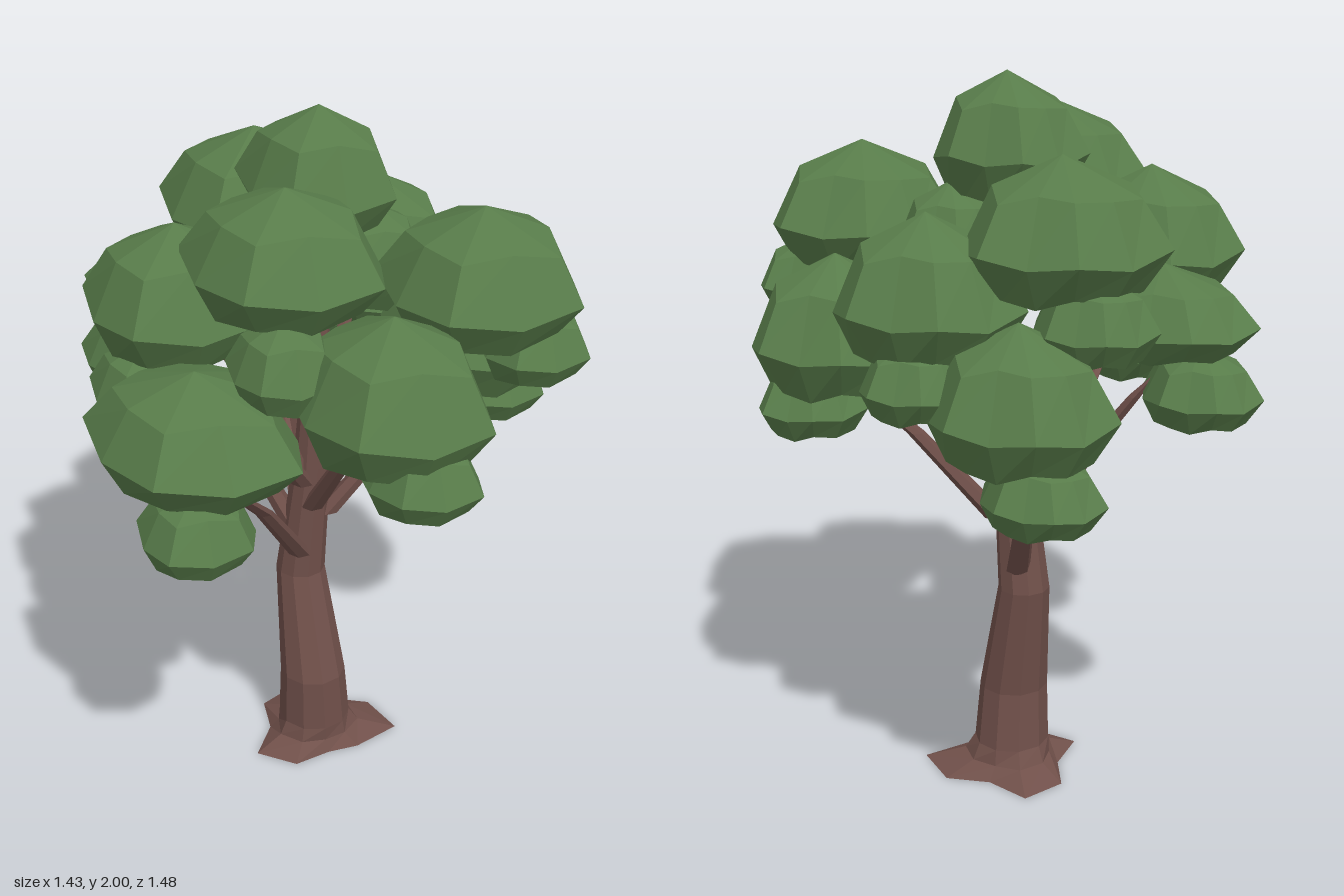
import * as THREE from 'three';

const bark = new THREE.MeshStandardMaterial({ color: 0x70504a, flatShading: true });
const leaf = new THREE.MeshStandardMaterial({ color: 0x587c4a, flatShading: true });

const evenAngles = (n) => Array.from({ length: n }, (_, i) => (i / n) * 360);
const pick = (v, i) => (Array.isArray(v) ? v[i] : v);

// Surface lofted upward through rings [x, y, z, radius]; y and radius may be
// lists with one value per angle, and a ring of radius 0 closes an end
function loft(rings, angles) {
  const pos = [], idx = [], n = angles.length;
  for (const [x, y, z, r] of rings) {
    angles.forEach((deg, i) => {
      const a = THREE.MathUtils.degToRad(deg);
      pos.push(x + Math.cos(a) * pick(r, i), pick(y, i), z + Math.sin(a) * pick(r, i));
    });
  }
  for (let k = 0; k < rings.length - 1; k++) {
    for (let i = 0; i < n; i++) {
      const a = k * n + i, b = k * n + ((i + 1) % n);
      idx.push(a, a + n, b, b, a + n, b + n);
    }
  }
  const geo = new THREE.BufferGeometry();
  geo.setAttribute('position', new THREE.Float32BufferAttribute(pos, 3));
  geo.setIndex(idx);
  geo.computeVertexNormals();
  return geo;
}

function part(name, geo, material) {
  const mesh = new THREE.Mesh(geo, material);
  mesh.name = name;
  return mesh;
}

// Unit leaf clump: five-cornered dome with a shallow underside, height 0 to 1
const CORNERS = [-88, -45, -5, 35, 75, 118, 162, 191, 220, 246];
const clumpShape = () => loft([
  [0, 0, 0, 0],
  [0, [0.1, 0.06, 0.14, 0.05, 0.1, 0.04, 0.12, 0.08, 0.14, 0.06], 0,
    [0.72, 0.7, 0.78, 0.68, 0.74, 0.7, 0.76, 0.72, 0.76, 0.7]],
  [0, [0.42, 0.34, 0.38, 0.32, 0.4, 0.36, 0.42, 0.34, 0.4, 0.36], 0,
    [1, 0.88, 1.01, 0.9, 1.02, 0.89, 1.03, 0.97, 1.03, 0.92]],
  [0, [0.74, 0.8, 0.72, 0.8, 0.76, 0.78, 0.74, 0.76, 0.78, 0.8], 0,
    [0.76, 0.6, 0.76, 0.6, 0.72, 0.62, 0.74, 0.7, 0.74, 0.62]],
  [0, 1, 0, 0],
], CORNERS);

// Clumps: x, z, radius x, radius z, top, bottom
const BIG = [
  [-0.01, -0.1, 0.23, 0.21, 2.0, 1.66],
  [0.1, 0.2, 0.28, 0.27, 1.89, 1.56],
  [-0.22, 0.24, 0.26, 0.26, 1.74, 1.38],
  [0.43, 0.21, 0.28, 0.26, 1.64, 1.25],
  [0.02, 0.47, 0.31, 0.27, 1.48, 1.165],
  [-0.34, -0.26, 0.28, 0.29, 1.84, 1.48],
  [-0.09, -0.48, 0.27, 0.26, 1.7, 1.32],
  [0.43, -0.21, 0.28, 0.29, 1.79, 1.44],
  [0.27, -0.46, 0.26, 0.26, 1.54, 1.16],
  [-0.46, -0.01, 0.26, 0.22, 1.55, 1.31],
  [-0.38, -0.46, 0.26, 0.25, 1.47, 1.1],
];
const SMALL = [
  [0.1, 0.57, 0.16, 0.17, 1.23, 1.01],
  [-0.54, 0.05, 0.17, 0.16, 1.34, 1.12],
  [-0.46, -0.47, 0.175, 0.16, 1.18, 0.96],
  [0.54, 0.24, 0.17, 0.16, 1.38, 1.16],
  [0.31, -0.52, 0.16, 0.17, 1.27, 1.05],
  [0.54, -0.31, 0.16, 0.17, 1.53, 1.31],
  [0.19, 0.33, 0.15, 0.15, 1.62, 1.38],
  [-0.24, 0.35, 0.16, 0.16, 1.45, 1.22],
  [-0.46, -0.28, 0.17, 0.17, 1.58, 1.34],
  [-0.14, -0.57, 0.16, 0.16, 1.42, 1.2],
  [0.08, -0.22, 0.16, 0.16, 1.72, 1.48],
];

// Branches: start x, y, z, then end x, y, z
const BRANCHES = [
  [-0.04, 0.66, -0.06, 0.09, 1.16, 0.46],
  [-0.08, 0.64, -0.14, -0.42, 1.12, -0.44],
  [-0.08, 0.72, -0.09, -0.45, 1.27, 0.01],
  [0.0, 0.78, -0.14, 0.3, 1.22, -0.46],
  [-0.01, 0.82, -0.08, 0.42, 1.36, 0.18],
  [-0.03, 0.9, -0.06, 0.02, 1.32, 0.36],
  [-0.04, 0.92, -0.08, -0.22, 1.5, 0.2],
  [-0.04, 0.88, -0.12, -0.34, 1.55, -0.26],
  [-0.01, 0.95, -0.11, 0.4, 1.52, -0.22],
  [-0.03, 0.9, -0.13, -0.1, 1.46, -0.44],
];

export function createModel() {
  const tree = new THREE.Group();
  tree.name = 'tree';

  // Trunk with three spreading roots
  const roots = [0.16, 0.13, 0.19, 0.22, 0.14, 0.2, 0.22, 0.14, 0.21, 0.25];
  tree.add(part('trunk', loft([
    [-0.01, 0, -0.1, 0],
    [-0.01, 0, -0.1, roots],
    [-0.01, 0.035, -0.095, roots.map((r) => 0.08 + r * 0.22)],
    [-0.007, 0.08, -0.09, 0.107],
    [-0.005, 0.25, -0.078, 0.097],
    [-0.07, 0.58, -0.105, 0.072],
    [-0.03, 0.95, -0.105, 0.054],
    [-0.01, 1.3, -0.1, 0.038],
    [0, 1.75, -0.1, 0],
  ], evenAngles(10)), bark));

  // Branches, each slightly arched
  const branches = new THREE.Group();
  branches.name = 'branches';
  BRANCHES.forEach(([x, y, z, ex, ey, ez], i) => {
    const at = (t, bend, r) => [
      x + (ex - x) * t, y + (ey - y) * t + bend, z + (ez - z) * t, r];
    branches.add(part('branch' + (i + 1), loft([
      at(0, 0, 0), at(0, 0, 0.034), at(0.5, 0.035, 0.025), at(0.8, 0.02, 0.018), at(1, 0, 0),
    ], evenAngles(6)), bark));
  });
  tree.add(branches);

  // Foliage: one clump shape, sized and placed
  const foliage = new THREE.Group();
  foliage.name = 'foliage';
  const shape = clumpShape();
  const addClumps = (name, list) => list.forEach(([x, z, rx, rz, top, bottom], i) => {
    const clump = part(name + (i + 1), shape, leaf);
    clump.position.set(x, bottom, z);
    clump.scale.set(rx, top - bottom, rz);
    foliage.add(clump);
  });
  addClumps('largeLeafClump', BIG);
  addClumps('smallLeafClump', SMALL);
  tree.add(foliage);

  return tree;
}
